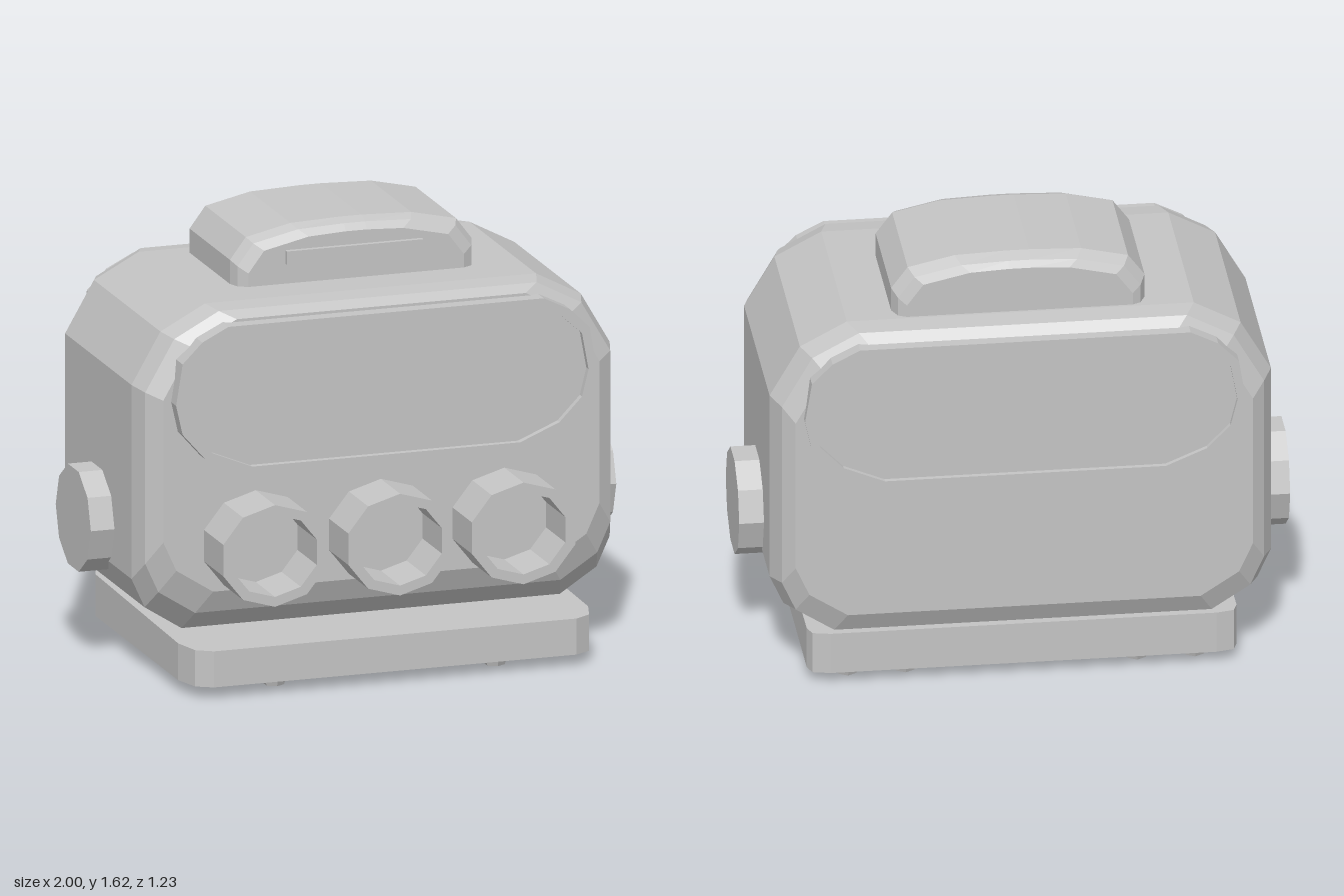
import * as THREE from 'three';

// Flat-shaded solid through a list of rings (counter-clockwise around the loft axis)
function loft(rings) {
  const pos = [];
  const tri = (a, b, c) => pos.push(...a, ...b, ...c);
  const n = rings[0].length;
  for (let i = 0; i < rings.length - 1; i++) {
    for (let j = 0; j < n; j++) {
      const k = (j + 1) % n;
      const [a, b, c, d] = [rings[i][j], rings[i][k], rings[i + 1][k], rings[i + 1][j]];
      tri(a, b, c);
      tri(a, c, d);
    }
  }
  const first = rings[0], last = rings[rings.length - 1];
  for (let j = 1; j < n - 1; j++) {
    tri(first[0], first[j + 1], first[j]);
    tri(last[0], last[j], last[j + 1]);
  }
  const geo = new THREE.BufferGeometry();
  geo.setAttribute('position', new THREE.Float32BufferAttribute(pos, 3));
  geo.computeVertexNormals();
  return geo;
}

// Mirror a right-hand half outline (bottom to top) into a closed one
const mirrored = (half) => [...half, ...half.slice().reverse().map(([x, y]) => [-x, y])];

// Body cross-section: large upper corners, smaller lower ones
const bodyRing = (z, w, b, t) => mirrored([
  [w - 0.19, b], [w - 0.05, b + 0.09], [w, b + 0.2],
  [w, t - 0.28], [w - 0.11, t - 0.09], [w - 0.28, t],
]).map(([x, y]) => [x, y, z]);

// Arched cross-section of the top housing
const archRing = (z, w, t) => mirrored([
  [w, 1.37], [w, t - 0.125], [w - 0.06, t - 0.045], [w - 0.23, t - 0.007], [0.04, t],
]).map(([x, y]) => [x, y, z]);

// Pill outline for the windows
const pill = (w, b, t) => {
  const m = (b + t) / 2, h = (t - b) / 2;
  return mirrored([
    [w - 0.26, b], [w - 0.11, b + h * 0.25], [w - 0.025, b + h * 0.6], [w, m],
    [w - 0.025, t - h * 0.45], [w - 0.1, t - h * 0.18], [w - 0.2, t],
  ]).map(([x, y]) => new THREE.Vector2(x, y));
};

export function createModel() {
  const group = new THREE.Group();
  const grey = new THREE.MeshStandardMaterial({ color: 0xc4c4c4 });
  grey.name = 'light grey';
  grey.flatShading = true;

  const add = (name, geo, x = 0, y = 0, z = 0) => {
    const mesh = new THREE.Mesh(geo, grey);
    mesh.name = name;
    mesh.position.set(x, y, z);
    group.add(mesh);
    return mesh;
  };

  // Main housing
  add('body', loft([
    bodyRing(-0.58, 0.83, 0.28, 1.34),
    bodyRing(-0.54, 0.875, 0.205, 1.39),
    bodyRing(-0.46, 0.91, 0.195, 1.40),
    bodyRing(0.28, 0.91, 0.195, 1.40),
    bodyRing(0.36, 0.885, 0.27, 1.39),
    bodyRing(0.40, 0.83, 0.355, 1.365),
  ]));

  // Arched housing on top with a small front label strip
  add('topHousing', loft([
    archRing(-0.45, 0.41, 1.57),
    archRing(-0.435, 0.44, 1.595),
    archRing(-0.39, 0.46, 1.615),
    archRing(0.06, 0.46, 1.615),
    archRing(0.10, 0.445, 1.60),
    archRing(0.12, 0.41, 1.575),
  ]));
  add('topStrip', new THREE.BoxGeometry(0.52, 0.05, 0.04), -0.01, 1.5, 0.12);

  // Front and back windows: raised rim around a recessed pane
  const rimShape = new THREE.Shape(pill(0.8, 0.8, 1.355));
  rimShape.holes.push(new THREE.Path(pill(0.77, 0.825, 1.325)));
  const pane = new THREE.Shape(pill(0.785, 0.812, 1.34));
  const extrude = (shape, depth) =>
    new THREE.ExtrudeGeometry(shape, { depth, bevelEnabled: false });
  add('frontWindowRim', extrude(rimShape, 0.075), 0, 0, 0.38);
  add('frontWindowPane', extrude(pane, 0.06), 0, 0, 0.37);
  add('backWindowRim', extrude(rimShape, 0.06), 0, 0, -0.612);
  add('backWindowPane', extrude(pane, 0.05), 0, 0, -0.593);

  // Three hollow ten-sided tubes on the front
  const decagon = (rx, ry) => Array.from({ length: 10 }, (_, i) => {
    const a = Math.PI / 2 + (i * Math.PI) / 5;
    return new THREE.Vector2(rx * Math.cos(a), ry * Math.sin(a));
  });
  const tube = new THREE.Shape(decagon(0.207, 0.19));
  tube.holes.push(new THREE.Path(decagon(0.167, 0.153)));
  [-0.478, -0.002, 0.468].forEach((x, i) =>
    add('frontTube' + (i + 1), extrude(tube, 0.26), x, 0.53, 0.355));

  // Round knobs on both sides
  for (const s of [-1, 1]) {
    const geo = new THREE.CylinderGeometry(0.196, 0.196, 0.16, 10);
    geo.rotateZ(Math.PI / 2);
    add(s > 0 ? 'leftKnob' : 'rightKnob', geo, s * 0.92, 0.532, -0.105);
  }

  // Base plate, its top rising slightly towards the back
  const plan = mirrored([
    [0.69, -0.555], [0.75, -0.52], [0.78, -0.42],
    [0.78, 0.50], [0.765, 0.545], [0.70, 0.56],
  ]);
  const baseRing = (height) => plan.map(([x, v]) => [x, height(v), -v]);
  add('basePlate', loft([
    baseRing(() => 0.042),
    baseRing((v) => 0.188 + 0.02 * v),
  ]));

  // Small tapered hexagonal feet
  for (const s of [-1, 1]) {
    for (const [x, z] of [[0.63, 0.325], [0.42, 0.43], [0.63, -0.465], [0.42, -0.465]]) {
      add('foot', new THREE.CylinderGeometry(0.054, 0.038, 0.045, 6), s * x, 0.0225, z);
    }
  }
  return group;
}
